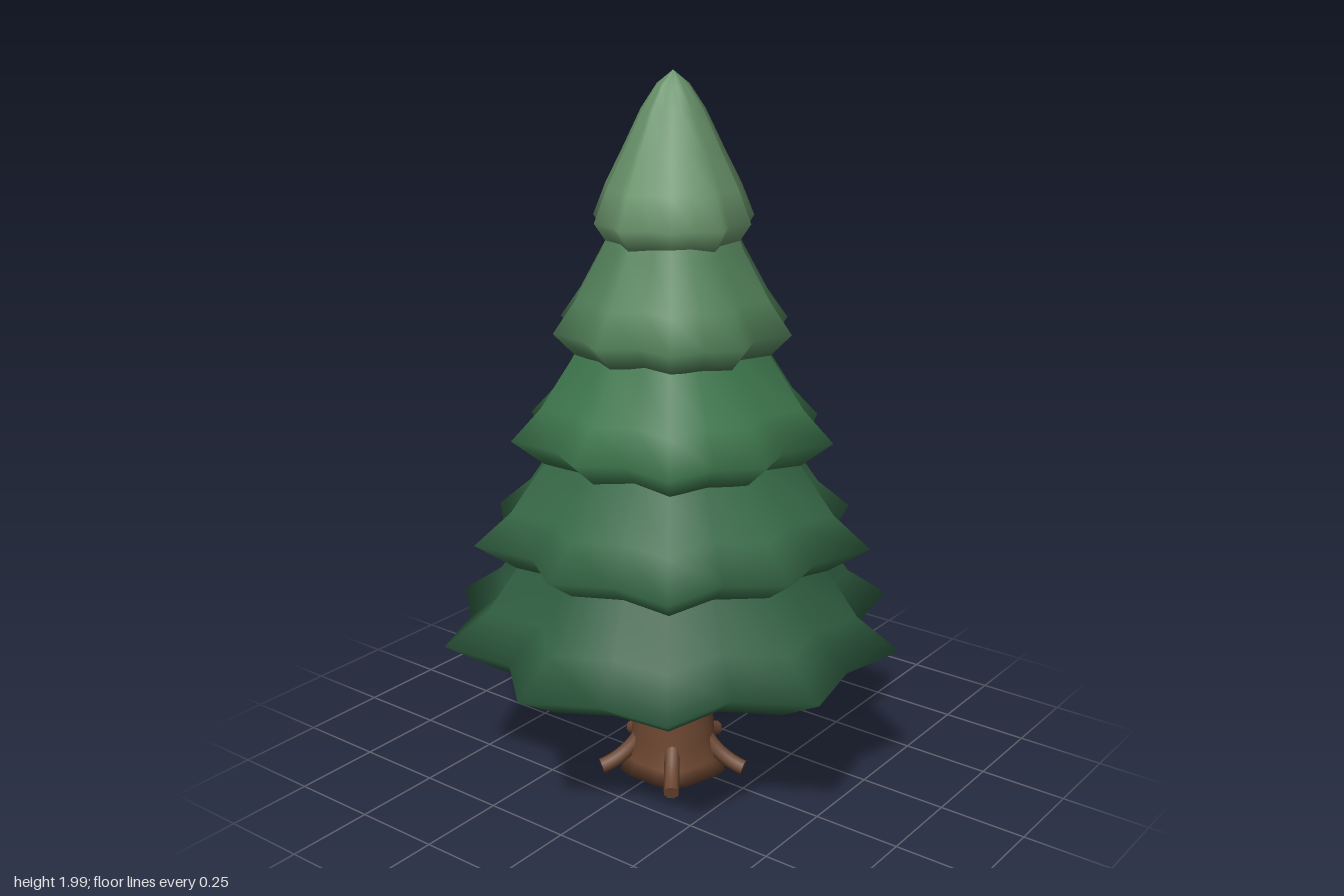
import * as THREE from 'three';

const TAU = Math.PI * 2;

// Lathe whose radius swells and shrinks around the axis by lobe(angle)
function lobedLathe(profile, segments, lobe) {
  const points = profile.map(([r, y]) => new THREE.Vector2(r, y));
  const geometry = new THREE.LatheGeometry(points, segments);
  geometry.rotateY(Math.PI / 2); // seam at +x
  const p = geometry.attributes.position;
  for (let i = 0; i < p.count; i++) {
    const x = p.getX(i), y = p.getY(i), z = p.getZ(i);
    const s = lobe(Math.atan2(z, x), y);
    p.setXYZ(i, x * s, y, z * s);
  }
  geometry.computeVertexNormals();
  return geometry;
}

function addMesh(parent, name, geometry, material) {
  const mesh = new THREE.Mesh(geometry, material);
  mesh.name = name;
  parent.add(mesh);
  return mesh;
}

export function createModel() {
  const tree = new THREE.Group();
  tree.name = 'pineTree';
  const bark = new THREE.MeshStandardMaterial({ color: 0x6b4630 });

  // Trunk: tapered, flaring into a lobed foot
  const trunkProfile = [
    [0, 0.01], [0.15, 0.01], [0.132, 0.05], [0.12, 0.11],
    [0.113, 0.22], [0.104, 0.37], [0.1, 0.5], [0, 0.5],
  ];
  addMesh(tree, 'trunk', lobedLathe(trunkProfile, 20,
    (a, y) => 1 + 0.07 * Math.cos(5 * a) * Math.max(0, 1 - y / 0.15)), bark);

  // Five roots bending outward to the ground, with flat cut ends
  const roots = new THREE.Group();
  roots.name = 'roots';
  tree.add(roots);
  const path = new THREE.QuadraticBezierCurve3(
    new THREE.Vector3(0.095, 0.125, 0),
    new THREE.Vector3(0.135, 0.055, 0),
    new THREE.Vector3(0.215, 0.03, 0));
  for (let i = 0; i < 5; i++) {
    const root = new THREE.Group();
    root.name = 'root';
    root.rotation.y = -i * TAU / 5;
    roots.add(root);
    addMesh(root, 'rootLimb', new THREE.TubeGeometry(path, 8, 0.022, 8), bark);
    const cap = addMesh(root, 'rootEnd', new THREE.CircleGeometry(0.022, 8), bark);
    const end = path.getPoint(1);
    cap.position.copy(end);
    cap.lookAt(end.clone().add(path.getTangent(1)));
    // lookAt works in world space, so set the turn again in the root's own frame
    cap.quaternion.setFromUnitVectors(new THREE.Vector3(0, 0, 1), path.getTangent(1));
  }

  // Foliage tiers: ten-pointed skirts, smaller and lighter towards the top
  const colors = [0x2f5d40, 0x366846, 0x3d754c, 0x528059, 0x6a946b];
  const foliage = new THREE.Group();
  foliage.name = 'foliage';
  tree.add(foliage);
  colors.forEach((color, i) => {
    const R = 0.604 - 0.1 * i;        // mean radius at the points
    const y = 0.468 + 0.2865 * i;     // height of the points
    const drop = 0.09 - 0.0085 * i;   // depth of the hem below the points
    const profile = [
      [0, y - drop - 0.016],
      [R * (0.77 + 0.015 * i), y - drop],
      [R, y],
    ];
    if (i < 4) {
      profile.push(
        [R * 0.815, y + 0.085],
        [R * (0.675 - 0.027 * i), y + 0.215],
        [R * (0.5 - 0.03 * i), y + 0.36],
        [0, y + 0.42]);
    } else {
      // Rounded crown
      profile.push([0.172, 1.7], [0.125, 1.8], [0.08, 1.9], [0.04, 1.965], [0, 2]);
    }
    const lobe = a => 1 + 0.081 * Math.cos(10 * a) + 0.038 * Math.sin(5 * a + i);
    addMesh(foliage, 'foliageTier', lobedLathe(profile, 20, lobe),
      new THREE.MeshStandardMaterial({ color }));
  });

  return tree;
}
